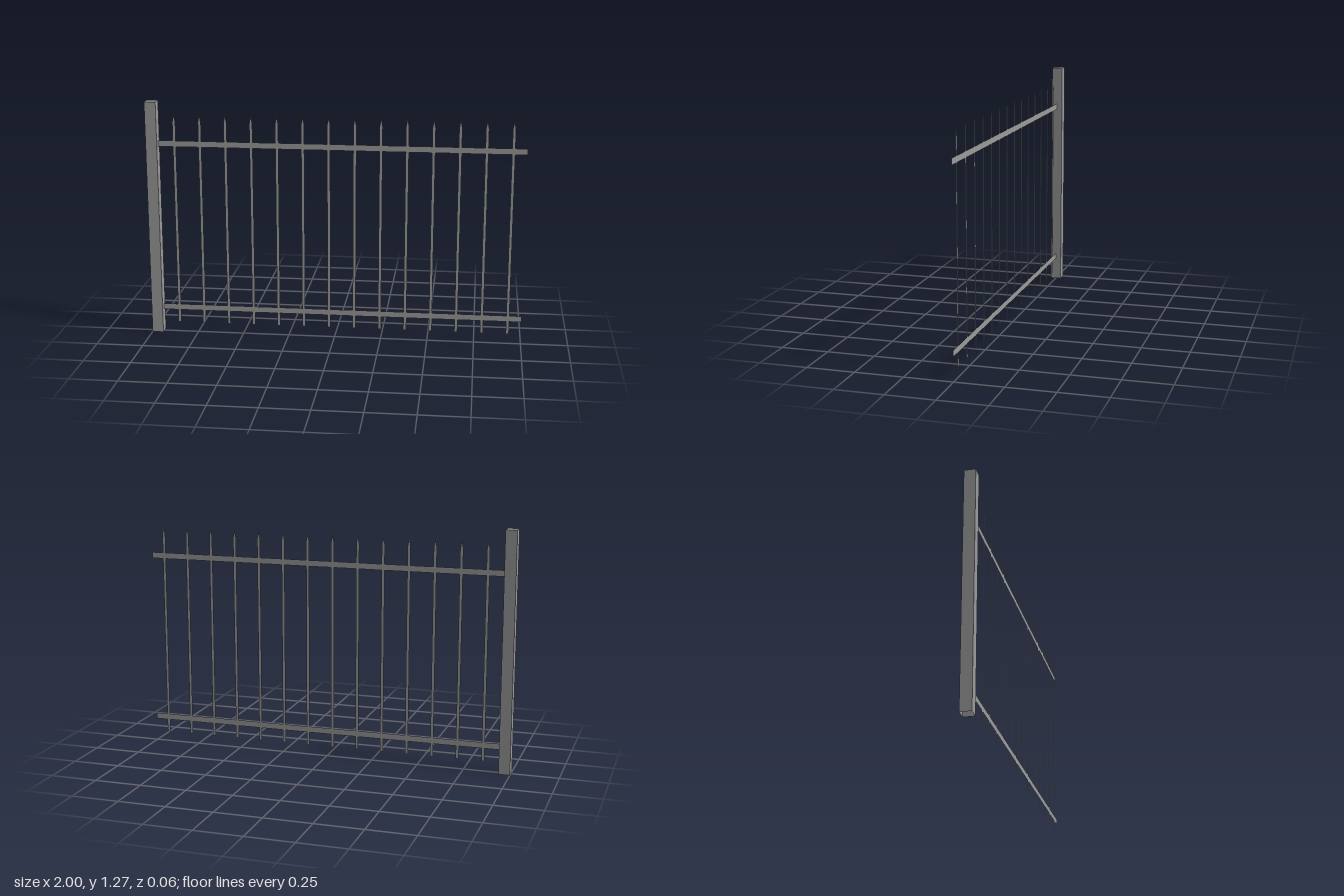
import * as THREE from 'three';

export function createModel() {
  const fence = new THREE.Group();
  fence.name = 'fence';
  const metal = new THREE.MeshStandardMaterial({ color: 0x9c9c9c, side: THREE.DoubleSide });
  metal.name = 'grey metal';

  const add = (name, geometry, x, y) => {
    const mesh = new THREE.Mesh(geometry, metal);
    mesh.name = name;
    mesh.position.set(x, y, 0);
    fence.add(mesh);
  };

  // Square end post, capped on top and open at the foot
  const postWidth = 0.06, postHeight = 1.274;
  const postGeometry = new THREE.BoxGeometry(postWidth, postHeight, postWidth);
  const index = Array.from(postGeometry.index.array);
  index.splice(18, 6); // drop the bottom face
  postGeometry.setIndex(index);
  postGeometry.clearGroups();
  add('post', postGeometry, -0.97, postHeight / 2);

  // Two flat rails running from the post to the open end
  const railGeometry = new THREE.PlaneGeometry(1.94, 0.032);
  add('lowerRail', railGeometry, 0.03, 0.139);
  add('upperRail', railGeometry, 0.03, 1.048);

  // Flat pickets with pointed tips
  const half = 0.008;
  const outline = new THREE.Shape([
    new THREE.Vector2(-half, 0.053),
    new THREE.Vector2(half, 0.053),
    new THREE.Vector2(half, 1.165),
    new THREE.Vector2(0, 1.207),
    new THREE.Vector2(-half, 1.165),
  ]);
  const picketGeometry = new THREE.ShapeGeometry(outline);
  const count = 14;
  for (let i = 0; i < count; i++) {
    add(`picket${i + 1}`, picketGeometry, THREE.MathUtils.lerp(-0.852, 0.928, i / (count - 1)), 0);
  }

  return fence;
}
